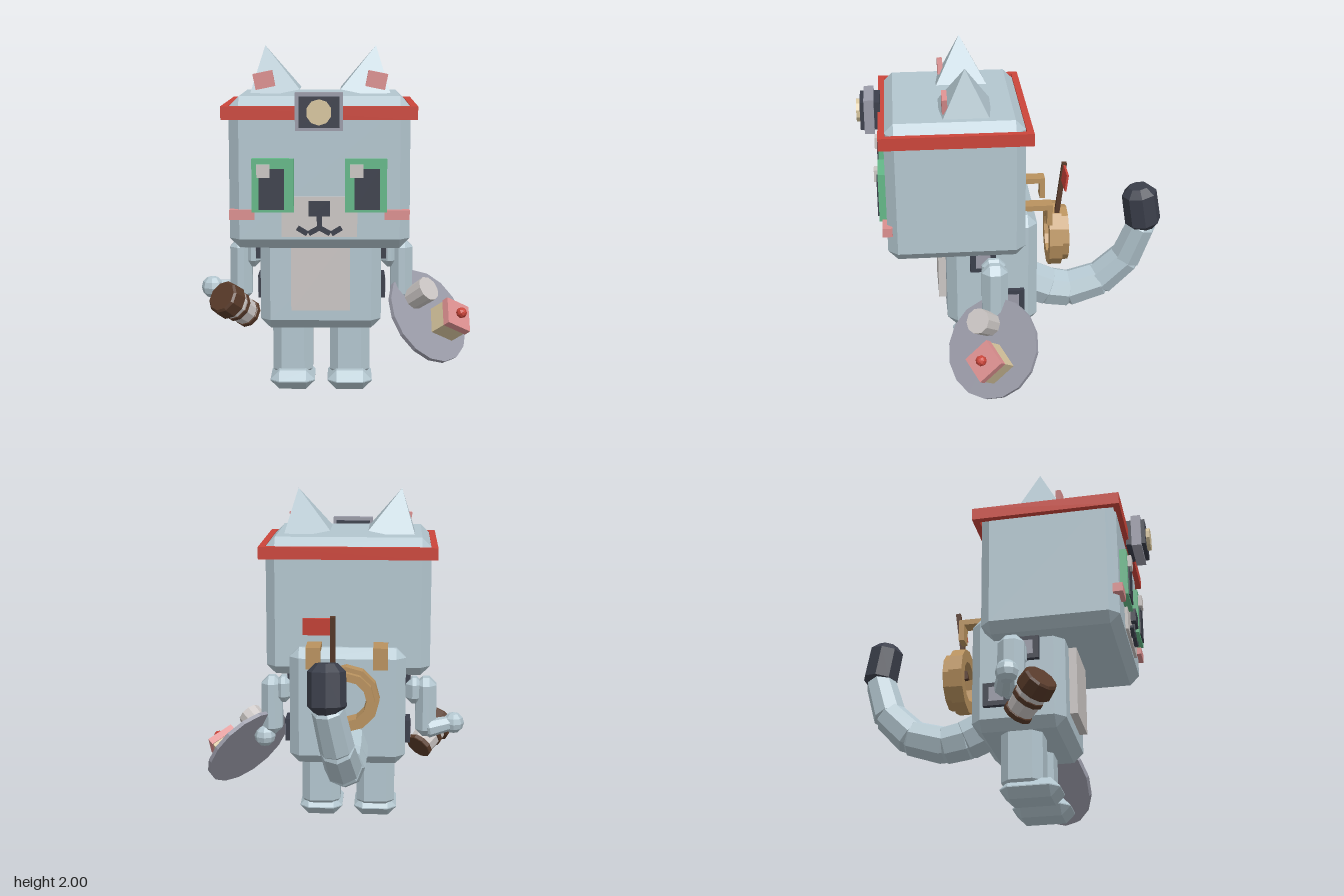
import * as THREE from 'three';
import { ConvexGeometry } from 'three/addons/geometries/ConvexGeometry.js';

const V = (x, y, z) => new THREE.Vector3(x, y, z);
const MID = -0.087; // x of the body's plane of symmetry
const UP = V(0, 1, 0);

export function createModel() {
  const mat = {};
  const colors = {
    fur: 0xb3c6cf, red: 0xcb453a, green: 0x64b888, dark: 0x3b3f4b, grey: 0x9a9ba8,
    cream: 0xcbc6c4, pink: 0xdb8f8f, tan: 0xb9925f, beige: 0xd6c49d, brown: 0x583a29,
  };
  for (const [name, color] of Object.entries(colors)) {
    mat[name] = new THREE.MeshStandardMaterial({ color });
    mat[name].name = name;
  }

  const root = new THREE.Group();
  root.name = 'catRobot';

  const add = (name, geo, color, pos, parent = root) => {
    const m = new THREE.Mesh(geo, mat[color]);
    m.name = name;
    m.position.copy(pos);
    parent.add(m);
    return m;
  };
  // Faceted normals
  const flat = (geo) => {
    const g = geo.index ? geo.toNonIndexed() : geo;
    g.computeVertexNormals();
    return g;
  };
  // Box from its low and high corners
  const box = (name, color, a, b, parent) =>
    add(name, new THREE.BoxGeometry(b[0] - a[0], b[1] - a[1], b[2] - a[2]), color,
      V((a[0] + b[0]) / 2, (a[1] + b[1]) / 2, (a[2] + b[2]) / 2), parent);
  // Box with all edges chamfered
  const chamferBox = (name, color, a, b, c, parent) => {
    const h = [0, 1, 2].map((i) => (b[i] - a[i]) / 2);
    const pts = [];
    for (const sx of [-1, 1]) for (const sy of [-1, 1]) for (const sz of [-1, 1])
      for (let k = 0; k < 3; k++) {
        const p = h.map((v, i) => (i === k ? v : v - c));
        pts.push(V(p[0] * sx, p[1] * sy, p[2] * sz));
      }
    return add(name, new ConvexGeometry(pts), color,
      V((a[0] + b[0]) / 2, (a[1] + b[1]) / 2, (a[2] + b[2]) / 2), parent);
  };
  // Turned part whose axis runs from a towards b
  const turned = (name, color, profile, sides, a, b, parent) => {
    const geo = new THREE.LatheGeometry(profile.map((p) => new THREE.Vector2(...p)), sides);
    const m = add(name, flat(geo), color, a, parent);
    m.quaternion.setFromUnitVectors(UP, b.clone().sub(a).normalize());
    return m;
  };
  // Link with bevelled ends between two points
  const link = (name, color, a, b, r0, r1, c, sides = 8) => {
    const L = a.distanceTo(b);
    return turned(name, color,
      [[0, 0], [r0 - c, 0], [r0, c], [r1, L - c], [r1 - c, L], [0, L]], sides, a, b);
  };
  const cyl = (name, color, r0, r1, h, sides, pos, parent) =>
    add(name, flat(new THREE.CylinderGeometry(r1, r0, h, sides)), color, pos, parent);

  // Head
  chamferBox('head', 'fur', [-0.577, 0.91, -0.042], [0.403, 1.737, 0.745], 0.056);

  // Headband
  const rect = (T, w, d) => {
    const s = new T();
    s.moveTo(-w, -d); s.lineTo(w, -d); s.lineTo(w, d); s.lineTo(-w, d); s.closePath();
    return s;
  };
  const band = rect(THREE.Shape, 0.526, 0.428);
  band.holes.push(rect(THREE.Path, 0.487, 0.39));
  add('headband', new THREE.ExtrudeGeometry(band, { depth: 0.072, bevelEnabled: false }),
    'red', V(MID, 1.688, 0.347)).rotation.x = Math.PI / 2;

  // Head lamp
  box('lampFrame', 'grey', [MID - 0.127, 1.563, 0.795], [MID + 0.127, 1.765, 0.852]);
  box('lampCore', 'dark', [MID - 0.107, 1.582, 0.76], [MID + 0.107, 1.745, 0.875]);
  cyl('lampLens', 'beige', 0.068, 0.068, 0.06, 10, V(MID, 1.664, 0.867)).rotation.x = Math.PI / 2;

  // Ears, eyes and cheeks
  for (const s of [-1, 1]) {
    const ear = flat(new THREE.ConeGeometry(0.208, 0.276, 4).rotateY(Math.PI / 4).translate(0, 0.138, 0));
    add('ear', ear, 'fur', V(MID + s * 0.258, 1.73, 0.285)).rotation.z = -s * 0.2;
    add('innerEar', new THREE.BoxGeometry(0.112, 0.09, 0.03), 'pink',
      V(MID + s * 0.315, 1.81, 0.402)).rotation.z = -s * 0.2;

    const ex = MID + s * 0.25, px = MID + s * 0.257;
    box('eye', 'green', [ex - 0.113, 1.12, 0.735], [ex + 0.113, 1.408, 0.787]);
    box('pupil', 'dark', [px - 0.068, 1.135, 0.786], [px + 0.068, 1.355, 0.795]);
    box('eyeGlint', 'cream', [ex - 0.085, 1.31, 0.78], [ex - 0.015, 1.38, 0.81]);

    const cx = MID + s * 0.418;
    box('cheek', 'pink', [cx - 0.068, 1.077, 0.715], [cx + 0.068, 1.13, 0.772]);
  }

  // Muzzle, nose and mouth
  box('muzzle', 'cream', [MID - 0.204, 0.982, 0.735], [MID + 0.204, 1.2, 0.762]);
  box('nose', 'dark', [MID - 0.058, 1.1, 0.75], [MID + 0.058, 1.18, 0.792]);
  box('mouthStem', 'dark', [MID - 0.014, 1.02, 0.755], [MID + 0.014, 1.1, 0.78]);
  for (const s of [-1, 1]) {
    [[0.03, -0.5], [0.092, 0.55]].forEach(([x, tilt]) => {
      add('mouthBar', new THREE.BoxGeometry(0.062, 0.026, 0.03), 'dark',
        V(MID + s * x, 1.018, 0.768)).rotation.z = s * tilt;
    });
  }

  // Body and belly
  chamferBox('body', 'fur', [-0.433, 0.38, -0.125], [0.259, 1.09, 0.41], 0.057);
  box('belly', 'cream', [MID - 0.167, 0.505, 0.4], [MID + 0.167, 0.95, 0.455]);

  // Legs, feet, side panels and arms
  for (const s of [-1, 1]) {
    const lx = MID + s * 0.167;
    chamferBox('leg', 'fur', [lx - 0.117, 0.05, 0.03], [lx + 0.117, 0.45, 0.265], 0.05);
    chamferBox('foot', 'fur', [lx - 0.13, 0, 0.025], [lx + 0.13, 0.11, 0.36], 0.052);

    [[0.84, 0.2], [0.572, 0.032]].forEach(([y, z]) => {
      const x = MID + s * 0.355;
      box('sidePanel', 'dark', [x - 0.022, y - 0.068, z - 0.075], [x + 0.022, y + 0.068, z + 0.075]);
      box('panelInset', 'grey', [x - 0.026, y - 0.042, z - 0.042], [x + 0.026, y + 0.042, z + 0.042]);
    });

    const sx = MID + s * 0.4, ax = MID + s * 0.472;
    chamferBox('shoulder', 'fur', [sx - 0.052, 0.705, 0.07], [sx + 0.052, 0.868, 0.21], 0.04);
    chamferBox('arm', 'fur', [ax - 0.064, 0.5, 0.065], [ax + 0.064, 0.868, 0.215], 0.045);
  }
  const hand = (p) => add('hand', flat(new THREE.SphereGeometry(0.066, 8, 6)), 'fur', p);
  link('forearm', 'fur', V(-0.56, 0.55, 0.1), V(-0.73, 0.58, 0.15), 0.058, 0.045, 0.012);
  hand(V(-0.73, 0.578, 0.152));
  hand(V(0.43, 0.49, 0.11));

  // Jar held by the right hand
  const jarA = V(-0.515, 0.415, 0.16), jarB = V(-0.662, 0.56, 0.33);
  const along = (t) => jarA.clone().lerp(jarB, t);
  link('jarBase', 'brown', along(0), along(0.12), 0.085, 0.085, 0.004, 10);
  link('jarGlass', 'cream', along(0.1), along(0.42), 0.078, 0.085, 0.004, 10);
  link('jarBand', 'brown', along(0.4), along(0.52), 0.092, 0.092, 0.004, 10);
  link('jarNeck', 'cream', along(0.5), along(0.64), 0.088, 0.088, 0.004, 10);
  link('jarLid', 'brown', along(0.62), along(1), 0.106, 0.1, 0.012, 10);

  // Tray with cup and cake
  const tray = new THREE.Group();
  tray.name = 'tray';
  tray.position.set(0.542, 0.405, 0.165);
  tray.rotation.set(0.785, 0, -0.68);
  root.add(tray);
  cyl('plate', 'grey', 0.295, 0.295, 0.025, 16, V(0, 0, 0), tray);
  cyl('cup', 'cream', 0.07, 0.075, 0.14, 10, V(-0.121, 0.08, -0.07), tray);
  box('cake', 'beige', [0.017, 0.01, -0.05], [0.177, 0.12, 0.11], tray);
  box('icing', 'pink', [0.012, 0.12, -0.055], [0.182, 0.165, 0.115], tray);
  add('berry', flat(new THREE.SphereGeometry(0.032, 8, 6)), 'red', V(0.097, 0.188, 0.03), tray);

  // Tail: chain of bevelled links
  const tail = [
    V(MID, 0.53, -0.06), V(MID, 0.46, -0.22), V(MID, 0.437, -0.35), V(-0.083, 0.5, -0.55),
    V(-0.055, 0.66, -0.705), V(-0.01, 0.9, -0.785),
  ];
  for (let i = 0; i < tail.length - 1; i++) {
    const d = tail[i + 1].clone().sub(tail[i]).normalize().multiplyScalar(0.035);
    link('tailLink', 'fur', tail[i].clone().sub(d), tail[i + 1].clone().add(d),
      0.128 - i * 0.007, 0.124 - i * 0.008, 0.035);
  }
  link('tailTip', 'dark', V(-0.005, 0.88, -0.8), V(0, 1.155, -0.755), 0.108, 0.106, 0.045);

  // Ring on the back with its two hooks
  turned('backRing', 'tan', [[0.12, 0], [0.195, 0], [0.195, 0.078], [0.168, 0.078],
    [0.168, 0.12], [0.12, 0.12], [0.12, 0]], 12, V(MID, 0.83, -0.215), V(MID, 0.83, -1));
  for (const s of [-1, 1]) {
    const x = MID + s * 0.197;
    box('hookTop', 'tan', [x - 0.043, 1.088, -0.222], [x + 0.043, 1.12, -0.03]);
    box('hookDrop', 'tan', [x - 0.043, 0.99, -0.222], [x + 0.043, 1.09, -0.19]);
  }

  // Flag
  const flag = new THREE.Group();
  flag.name = 'flag';
  flag.position.set(-0.01, 0.88, -0.252);
  flag.rotation.x = -0.125;
  root.add(flag);
  box('flagPole', 'brown', [-0.015, 0, -0.014], [0.015, 0.445, 0.014], flag);
  box('flagCloth', 'red', [0.015, 0.335, -0.006], [0.172, 0.435, 0.006], flag);

  return root;
}
